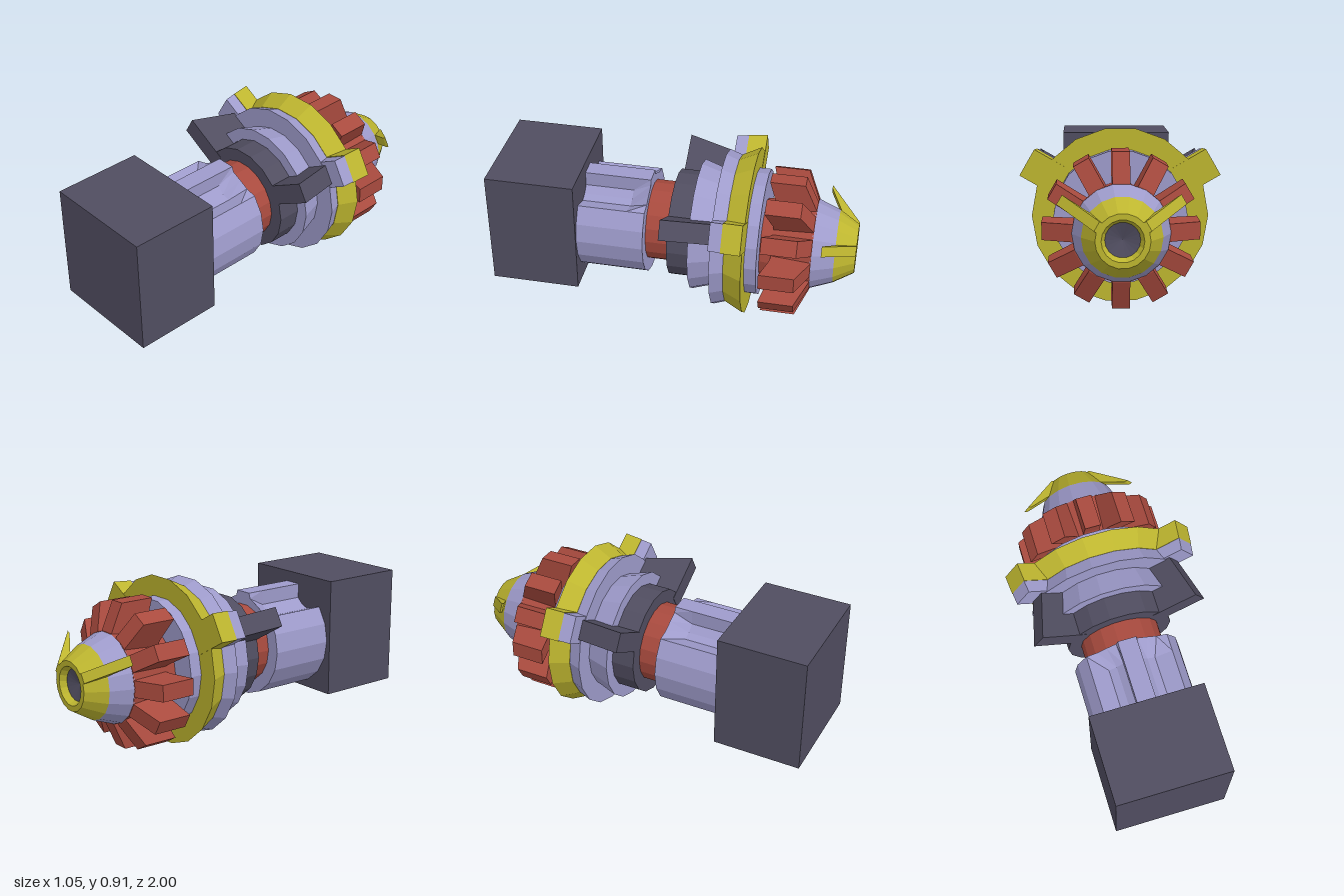
import * as THREE from 'three';

const LAVENDER = 0x9e9bcb, DARK = 0x504d60, RED = 0xa84a3e, YELLOW = 0xbdb52f;
const AXIS = 0.457, SIDES = 18, STEP = (Math.PI * 2) / SIDES;

export function createModel() {
  const model = new THREE.Group();
  const mats = {};
  const material = (color) => (mats[color] ??= new THREE.MeshStandardMaterial({
    color, flatShading: true, side: THREE.DoubleSide }));

  function add(parent, name, geometry, color) {
    const mesh = new THREE.Mesh(geometry, material(color));
    mesh.name = name;
    parent.add(mesh);
    return mesh;
  }

  // Faceted drum along z, from (zFront, rFront) back to (zBack, rBack)
  function drum(parent, name, color, zFront, rFront, zBack, rBack) {
    const g = new THREE.CylinderGeometry(rFront, rBack, zFront - zBack, SIDES, 1, false, STEP / 2);
    g.rotateX(Math.PI / 2).translate(0, 0, (zFront + zBack) / 2);
    return add(parent, name, g, color);
  }

  // Slab with a (radius, z) outline, standing out from the axis at an angle
  function blade(parent, name, color, outline, width, angle) {
    const shape = new THREE.Shape(outline.map(([r, z]) => new THREE.Vector2(r, z)));
    const g = new THREE.ExtrudeGeometry(shape, { depth: width, bevelEnabled: false });
    g.translate(0, 0, -width / 2).rotateX(Math.PI / 2).rotateZ(angle);
    return add(parent, name, g, color);
  }

  // Front block
  const block = add(model, 'frontBlock', new THREE.BoxGeometry(0.63, 0.66, 0.49), DARK);
  block.position.set(-0.005, 0.48, 0.755);

  const body = new THREE.Group();
  body.name = 'body';
  body.position.y = AXIS;
  model.add(body);

  // Barrel: round section with two flutes on top, shallower at the back end
  const section = (depth) => {
    const pts = [];
    for (let i = 0; i < SIDES; i++) {
      const deg = 10 + i * 20;
      if (deg === 30 || deg === 330) {
        const flute = [[-17, 0.8], [-4, 1], [9, 0.9]];
        if (deg === 330) flute.reverse();
        for (const [d, k] of flute) {
          pts.push([deg + (deg === 330 ? -d : d), 0.297 - depth * k]);
        }
      } else pts.push([deg, 0.297]);
    }
    return pts.map(([deg, r]) => {
      const a = THREE.MathUtils.degToRad(deg);
      return [r * Math.sin(a), r * Math.cos(a)];
    });
  };
  const rings = [[0.14, 0.035], [0.24, 0.1], [0.52, 0.1]].map(([z, d]) => section(d).map(([x, y]) => [x, y, z]));
  const n = rings[0].length, pos = [];
  for (let k = 0; k < 2; k++) {
    for (let i = 0; i < n; i++) {
      const j = (i + 1) % n;
      const a = rings[k][i], b = rings[k][j], c = rings[k + 1][j], d = rings[k + 1][i];
      pos.push(...a, ...b, ...c, ...a, ...c, ...d);
    }
  }
  for (let i = 0; i < n; i++) {
    const j = (i + 1) % n;
    pos.push(0, 0, 0.14, ...rings[0][j], ...rings[0][i]);
    pos.push(0, 0, 0.52, ...rings[2][i], ...rings[2][j]);
  }
  // Angles run clockwise seen from the front, so triangles are flipped to face out
  for (let t = 0; t < pos.length; t += 9) {
    for (let c = 0; c < 3; c++) [pos[t + 3 + c], pos[t + 6 + c]] = [pos[t + 6 + c], pos[t + 3 + c]];
  }
  const barrel = new THREE.BufferGeometry();
  barrel.setAttribute('position', new THREE.Float32BufferAttribute(pos, 3));
  barrel.computeVertexNormals();
  add(body, 'flutedBarrel', barrel, LAVENDER);

  // Neck and collars
  drum(body, 'neck', RED, 0.15, 0.223, 0, 0.223);
  drum(body, 'darkCollar', DARK, 0.008, 0.297, -0.13, 0.297);
  drum(body, 'taperedCollar', LAVENDER, -0.12, 0.364, -0.26, 0.32);
  drum(body, 'discFront', LAVENDER, -0.25, 0.435, -0.322, 0.41);
  drum(body, 'discRim', YELLOW, -0.322, 0.412, -0.425, 0.463);
  drum(body, 'discBack', LAVENDER, -0.425, 0.35, -0.49, 0.35);

  // Lugs on the disc and the wings in front of them, left and right
  for (const angle of [Math.PI / 6, Math.PI * 5 / 6]) {
    blade(body, 'lugFront', LAVENDER, [[0.3, -0.255], [0.54, -0.255], [0.55, -0.322], [0.3, -0.322]], 0.15, angle);
    blade(body, 'lugRim', YELLOW, [[0.3, -0.322], [0.55, -0.322], [0.562, -0.427], [0.3, -0.427]], 0.157, angle);
    blade(body, 'wing', DARK, [[0.25, 0.01], [0.525, 0.01], [0.45, -0.26], [0.25, -0.26]], 0.108, angle);
  }

  // Toothed wheel and nose sit slightly lower than the body
  const head = new THREE.Group();
  head.name = 'head';
  head.position.set(0.005, 0.422, 0);
  model.add(head);

  drum(head, 'wheelCore', RED, -0.48, 0.22, -0.77, 0.25);
  const tooth = [[0.2, -0.555], [0.265, -0.55], [0.4, -0.51], [0.4, -0.7], [0.25, -0.768], [0.2, -0.768]];
  for (let i = 0; i < 12; i++) blade(head, 'tooth', RED, tooth, 0.09, (i * Math.PI) / 6);

  // Nose: tapered shell, hollow tip and dark recess
  drum(head, 'noseBase', LAVENDER, -0.765, 0.25, -0.89, 0.202);
  const turned = (name, color, profile) => {
    const g = new THREE.LatheGeometry(profile.map(([r, z]) => new THREE.Vector2(r, z)), SIDES, STEP / 2);
    add(head, name, g.rotateX(Math.PI / 2), color);
  };
  turned('noseTip', YELLOW, [[0.085, -0.96], [0.105, -1], [0.135, -1], [0.202, -0.89]]);
  turned('noseRecess', DARK, [[0, -0.94], [0.09, -0.965]]);

  // Swept nose fins, left and right
  const fin = [[0.12, -1], [0.145, -1], [0.355, -0.825], [0.335, -0.825], [0.19, -0.9]];
  for (const angle of [Math.PI / 6, Math.PI * 5 / 6]) blade(head, 'noseFin', YELLOW, fin, 0.055, angle);

  return model;
}
